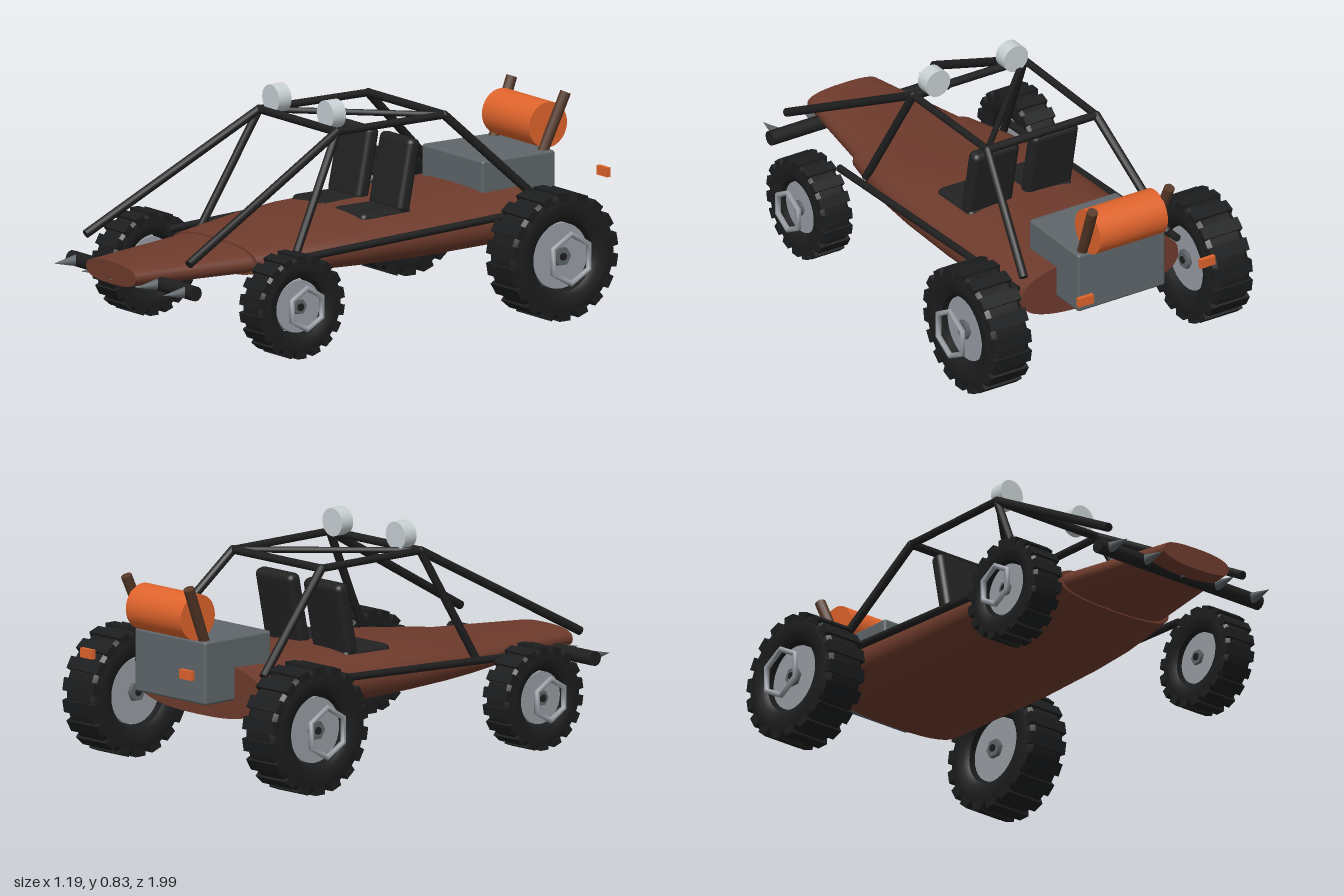
import * as THREE from 'three';
import { toCreasedNormals } from 'three/addons/utils/BufferGeometryUtils.js';
import { RoundedBoxGeometry } from 'three/addons/geometries/RoundedBoxGeometry.js';

const mat = (name, color, extra = {}) => new THREE.MeshStandardMaterial({ name, color, ...extra });

export function createModel() {
  const root = new THREE.Group();
  root.name = 'buggy';
  const rust = mat('rust paint', 0x6e3b2c);
  const black = mat('black tubing', 0x1f1f1f);
  const rubber = mat('tyre rubber', 0x1c1d1e);
  const fabric = mat('seat fabric', 0x222222);
  const steel = mat('engine steel', 0x5f666a);
  const silver = mat('wheel metal', 0x9a9ea5);
  const orange = mat('orange paint', 0xe0642c);
  const pipe = mat('exhaust brown', 0x553727);
  const lens = mat('lamp glass', 0xc8d0d3);

  const add = (name, geo, material, x = 0, y = 0, z = 0, parent = root) => {
    const m = new THREE.Mesh(geo, material);
    m.name = name;
    m.position.set(x, y, z);
    parent.add(m);
    return m;
  };

  // straight tube between two points
  const bar = (name, a, b, r, material = black) => {
    const p = new THREE.Vector3(...a), q = new THREE.Vector3(...b);
    const d = q.clone().sub(p);
    const m = add(name, new THREE.CylinderGeometry(r, r, d.length(), 12), material);
    m.position.copy(p).add(q).multiplyScalar(0.5);
    m.quaternion.setFromUnitVectors(new THREE.Vector3(0, 1, 0), d.normalize());
    return m;
  };

  // hull lofted through rounded sections [z, halfWidth, bottom, top], front to back
  const loft = (sections, n = 40, power = 2.6) => {
    const pos = [], idx = [];
    const round = (v) => Math.sign(v) * Math.pow(Math.abs(v), 2 / power);
    for (const [z, w, lo, hi] of sections) {
      for (let i = 0; i < n; i++) {
        const t = (i / n) * Math.PI * 2;
        pos.push(w * round(Math.cos(t)), (lo + hi) / 2 + ((hi - lo) / 2) * round(Math.sin(t)), z);
      }
    }
    const last = sections.length - 1;
    for (let s = 0; s < last; s++) {
      for (let i = 0; i < n; i++) {
        const a = s * n + i, b = s * n + (i + 1) % n;
        idx.push(a, a + n, b, b, a + n, b + n);
      }
    }
    for (let i = 1; i < n - 1; i++) {
      idx.push(0, i, i + 1);
      idx.push(last * n, last * n + i + 1, last * n + i);
    }
    const g = new THREE.BufferGeometry();
    g.setAttribute('position', new THREE.Float32BufferAttribute(pos, 3));
    g.setIndex(idx);
    return toCreasedNormals(g, 0.6);
  };

  // body
  add('nose', loft([[0.985, 0.15, 0.245, 0.325], [0.53, 0.235, 0.245, 0.35]]), rust);
  add('hull', loft([
    [0.53, 0.255, 0.24, 0.355], [0.4, 0.285, 0.232, 0.37], [0.25, 0.315, 0.226, 0.388],
    [0.08, 0.33, 0.22, 0.405], [-0.2, 0.335, 0.216, 0.413], [-0.69, 0.33, 0.224, 0.43],
  ]), rust);

  // wheels: tyre with tread blocks, rim disc and hexagonal outer ring
  const wheel = (name, side, cx, z, r, width, hole, ringX, ringR) => {
    const g = new THREE.Group();
    g.name = name;
    g.position.set(side * cx, r, z);
    g.rotation.z = -side * Math.PI / 2; // local +y points outward
    root.add(g);
    const h = width / 2, R = r - 0.008;
    const profile = [
      [hole, -h * 0.8], [hole + 0.02, -h * 0.95], [R - 0.035, -h], [R - 0.01, -h * 0.9], [R, -h * 0.7],
      [R, h * 0.7], [R - 0.01, h * 0.9], [R - 0.035, h], [hole + 0.02, h * 0.95], [hole, h * 0.8], [hole, -h * 0.8],
    ].map(([a, b]) => new THREE.Vector2(a, b));
    add('tyre', toCreasedNormals(new THREE.LatheGeometry(profile, 40), 0.5), rubber, 0, 0, 0, g);
    const count = 18, block = new THREE.BoxGeometry(0.03, width * 0.96, r * 0.2);
    for (let i = 0; i < count; i++) {
      const t = (i / count) * Math.PI * 2;
      const b = add('treadBlock', block, rubber, Math.cos(t) * (r - 0.016), 0, Math.sin(t) * (r - 0.016), g);
      b.rotation.y = -t;
    }
    const rim = hole - 0.011;
    add('rim', new THREE.CylinderGeometry(rim, rim, width * 0.6, 32), silver, 0, 0, 0, g);
    add('hub', new THREE.CylinderGeometry(rim * 0.3, rim * 0.3, width * 0.8, 6), steel, 0, 0, 0, g);
    add('axleCap', new THREE.CylinderGeometry(0.014, 0.014, width * 0.86, 12), black, 0, 0, 0, g);
    const hex = add('hexRing', new THREE.TorusGeometry(ringR, 0.011, 8, 6), silver, 0, ringX - cx, 0, g);
    hex.rotation.x = Math.PI / 2;
  };

  for (const s of [1, -1]) {
    wheel('rearWheel', s, 0.468, -0.61, 0.233, 0.165, 0.13, 0.583, 0.09);
    wheel('frontWheel', s, 0.447, 0.515, 0.188, 0.128, 0.106, 0.538, 0.075);

    // roll cage sides
    const front = [s * 0.235, 0.733, 0.165], rear = [s * 0.23, 0.733, -0.31];
    bar('roofRail', front, rear, 0.014);
    bar('frontStay', front, [s * 0.312, 0.355, 0.87], 0.016);
    bar('frontPillar', front, [s * 0.29, 0.31, 0.39], 0.015);
    bar('rearStay', rear, [s * 0.305, 0.4, -0.66], 0.016);
    bar('sideRail', [s * 0.34, 0.318, 0.485], [s * 0.34, 0.368, -0.67], 0.014);
    for (const p of [front, rear]) add('cageJoint', new THREE.SphereGeometry(0.016, 12, 8), black, ...p);

    // seats
    add('seatCushion', new RoundedBoxGeometry(0.19, 0.06, 0.22, 3, 0.02), fabric, s * 0.125, 0.382, -0.07);
    const back = add('seatBack', new RoundedBoxGeometry(0.195, 0.27, 0.055, 3, 0.022), fabric, s * 0.125, 0.525, -0.168);
    back.rotation.x = -0.2;

    // roof lamps
    const lamp = add('roofLamp', new THREE.CylinderGeometry(0.051, 0.051, 0.055, 28), lens, s * 0.165, 0.783, 0.138);
    lamp.rotation.x = Math.PI / 2;

    // exhaust stacks and tail lamps
    bar('exhaust', [s * 0.147, 0.51, -0.795], [s * 0.163, 0.73, -0.89], 0.02, pipe);
    add('tailLamp', new THREE.BoxGeometry(0.063, 0.034, 0.016), orange, s * 0.258, 0.447, -0.988);
  }

  // roll cage cross members
  bar('frontHoop', [-0.235, 0.733, 0.165], [0.235, 0.733, 0.165], 0.015);
  bar('rearHoop', [-0.23, 0.733, -0.31], [0.23, 0.733, -0.31], 0.015);
  bar('roofDiagonal', [0.23, 0.733, -0.31], [-0.225, 0.733, 0.16], 0.011);

  // engine block and fuel drum
  add('engine', new RoundedBoxGeometry(0.37, 0.23, 0.32, 2, 0.01), steel, 0, 0.415, -0.67);
  bar('fuelDrum', [-0.143, 0.615, -0.828], [0.143, 0.615, -0.828], 0.083, orange).geometry =
    new THREE.CylinderGeometry(0.083, 0.083, 0.286, 32);

  // spiked front bumper
  bar('bumper', [-0.375, 0.261, 0.885], [0.375, 0.261, 0.885], 0.027);
  for (let i = -2; i <= 2; i++) {
    const spike = add('spike', new THREE.ConeGeometry(0.021, 0.095, 8), steel, i * 0.165, 0.261, 0.949);
    spike.rotation.x = Math.PI / 2;
  }
  return root;
}
